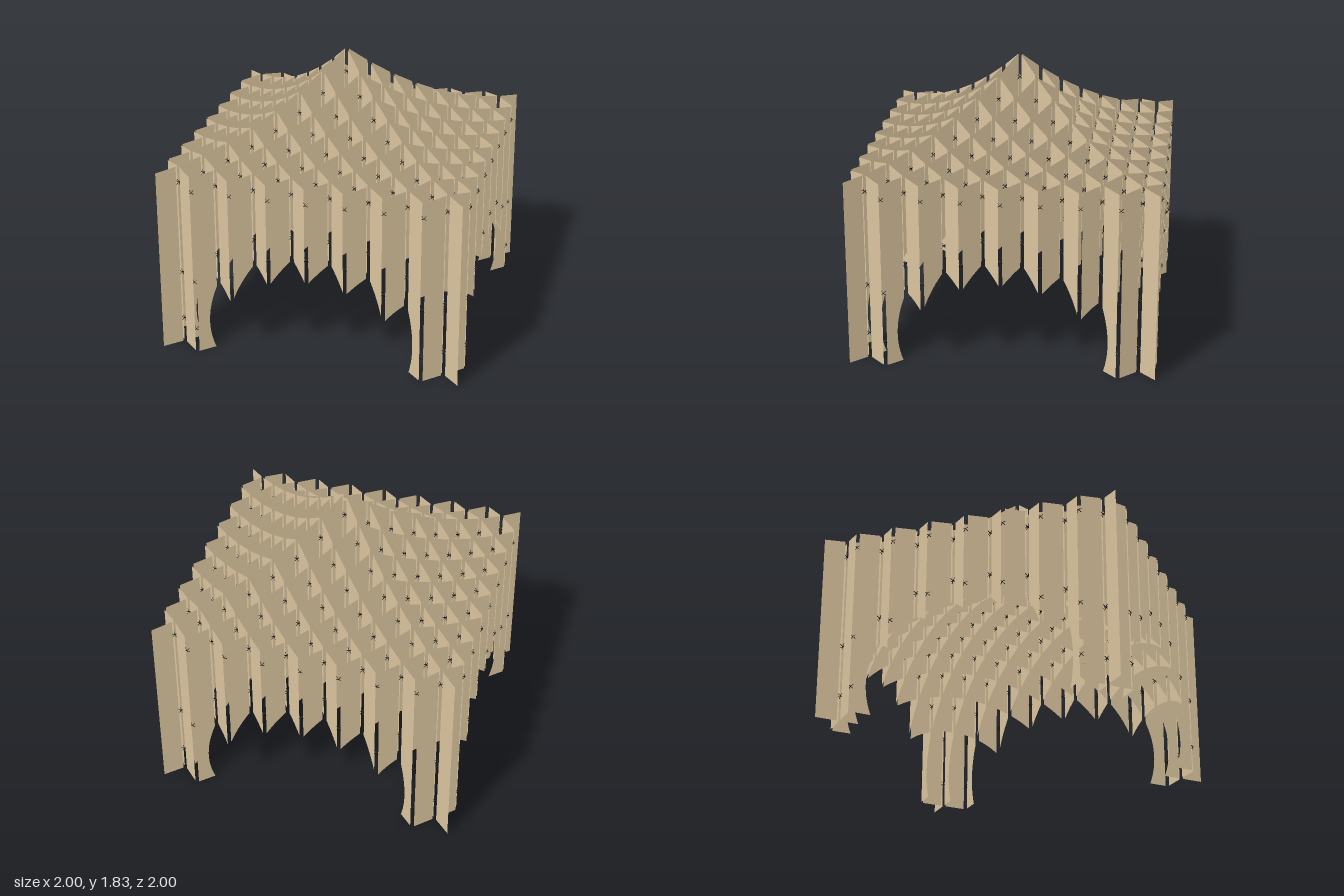
import * as THREE from 'three';
import { mergeGeometries } from 'three/addons/utils/BufferGeometryUtils.js';

const CELL = 0.125;                 // lattice step in x and z
const STEP = CELL * Math.SQRT2;     // lattice step along a diagonal
const GAP = 0.0125 * Math.SQRT2;    // space between a panel and its crossing
const DOME_R = 1.15, DOME_H = 0.775, DOME_Y = 0.2; // hollow ellipsoid inside

// Roof height: a concave tent with a square plan
function roof(x, z) {
  const s = 1 - Math.min(1, Math.max(Math.abs(x), Math.abs(z)));
  return 1.243 + 0.1 * s + 0.5 * s * s;
}

// Outline of one panel: u runs along its diagonal, outward from the middle
function panelShape(u0, u1, top0, top1, d2) {
  const a2 = DOME_R * DOME_R - d2;
  const pts = [[u0, top0], [u1, top1]];
  if (a2 <= 0 || u0 * u0 >= a2) {
    pts.push([u1, 0], [u0, 0]);               // reaches the ground
  } else {
    const a = Math.sqrt(a2), b = DOME_H * a / DOME_R;
    let start;
    if (u1 < a) {
      start = Math.acos(u1 / a);              // hangs above the hollow
    } else {
      pts.push([u1, 0]);                      // foot with a curved inner edge
      start = -Math.asin(Math.min(1, DOME_Y / b));
    }
    const end = Math.acos(u0 / a), n = 12;
    for (let i = 0; i <= n; i++) {
      const t = start + (end - start) * i / n;
      pts.push([Math.max(u0, a * Math.cos(t)), Math.max(0, DOME_Y + b * Math.sin(t))]);
    }
  }
  return new THREE.Shape(pts.map(p => new THREE.Vector2(p[0], p[1])));
}

// All panels of one diagonal family; sx is the sign of x along the diagonal
function panelFamily(sx) {
  const list = [];
  const up = new THREE.Vector3(0, 1, 0);
  for (let m = -7; m <= 7; m++) {
    const foot = new THREE.Vector3(m * CELL, 0, -sx * m * CELL);
    const d2 = foot.lengthSq();
    for (const side of [-1, 1]) {
      const e = new THREE.Vector3(sx * side, 0, side).normalize();
      const matrix = new THREE.Matrix4()
        .makeBasis(e, up, new THREE.Vector3().crossVectors(e, up))
        .setPosition(foot);
      for (let i = 0; i < 8 - Math.abs(m); i++) {
        const height = k => roof(foot.x + e.x * k * STEP, foot.z + e.z * k * STEP);
        const h0 = height(i), h1 = height(i + 1), f = GAP / STEP;
        const shape = panelShape(i * STEP + GAP, (i + 1) * STEP - GAP,
          h0 + (h1 - h0) * f, h1 + (h0 - h1) * f, d2);
        list.push(new THREE.ShapeGeometry(shape).applyMatrix4(matrix));
      }
    }
  }
  return mergeGeometries(list);
}

// Heights of the connectors at one crossing
function connectorHeights(x, z) {
  const reach = Math.max(Math.abs(x), Math.abs(z)) + CELL / 2;
  const heights = [roof(reach, 0) - 0.1];
  const r2 = x * x + z * z, k = 1 - r2 / (DOME_R * DOME_R);
  if (k > 0) heights.push(DOME_Y + DOME_H * Math.sqrt(k) + 0.08 + 0.1 * r2);
  else heights.push(0.51, 0.17);
  return heights;
}

// Small crossed wires bridging the gaps between panels
function connectors() {
  const list = [];
  const axis = new THREE.Vector3(0, 1, 0);
  for (let i = -8; i <= 8; i++) for (let j = -8; j <= 8; j++) {
    if ((i + j) % 2 !== 0 || (Math.abs(i) === 8 && Math.abs(j) === 8)) continue;
    const x = i * CELL, z = j * CELL;
    for (const y of connectorHeights(x, z)) {
      for (const dx of [-1, 1]) for (const dz of [-1, 1]) {
        if (Math.abs(i + dx) > 8 || Math.abs(j + dz) > 8) continue;
        for (const dy of [-1, 1]) {
          const v = new THREE.Vector3(dx * 0.0135, dy * 0.013, dz * 0.0135);
          const bar = new THREE.CylinderGeometry(0.002, 0.002, v.length(), 4, 1);
          bar.applyQuaternion(new THREE.Quaternion()
            .setFromUnitVectors(axis, v.clone().normalize()));
          bar.translate(x + v.x / 2, y + v.y / 2, z + v.z / 2);
          list.push(bar);
        }
      }
    }
  }
  return mergeGeometries(list);
}

export function createModel() {
  const group = new THREE.Group();
  group.name = 'latticePavilion';
  const timber = new THREE.MeshStandardMaterial({ color: 0xdcc6a0, side: THREE.DoubleSide });
  timber.name = 'pale timber';
  const black = new THREE.MeshStandardMaterial({ color: 0x080808 });
  black.name = 'black wire';

  const add = (name, geometry, material) => {
    const mesh = new THREE.Mesh(geometry, material);
    mesh.name = name;
    group.add(mesh);
  };
  add('risingDiagonalPanels', panelFamily(1), timber);
  add('fallingDiagonalPanels', panelFamily(-1), timber);
  add('panelConnectors', connectors(), black);
  return group;
}
